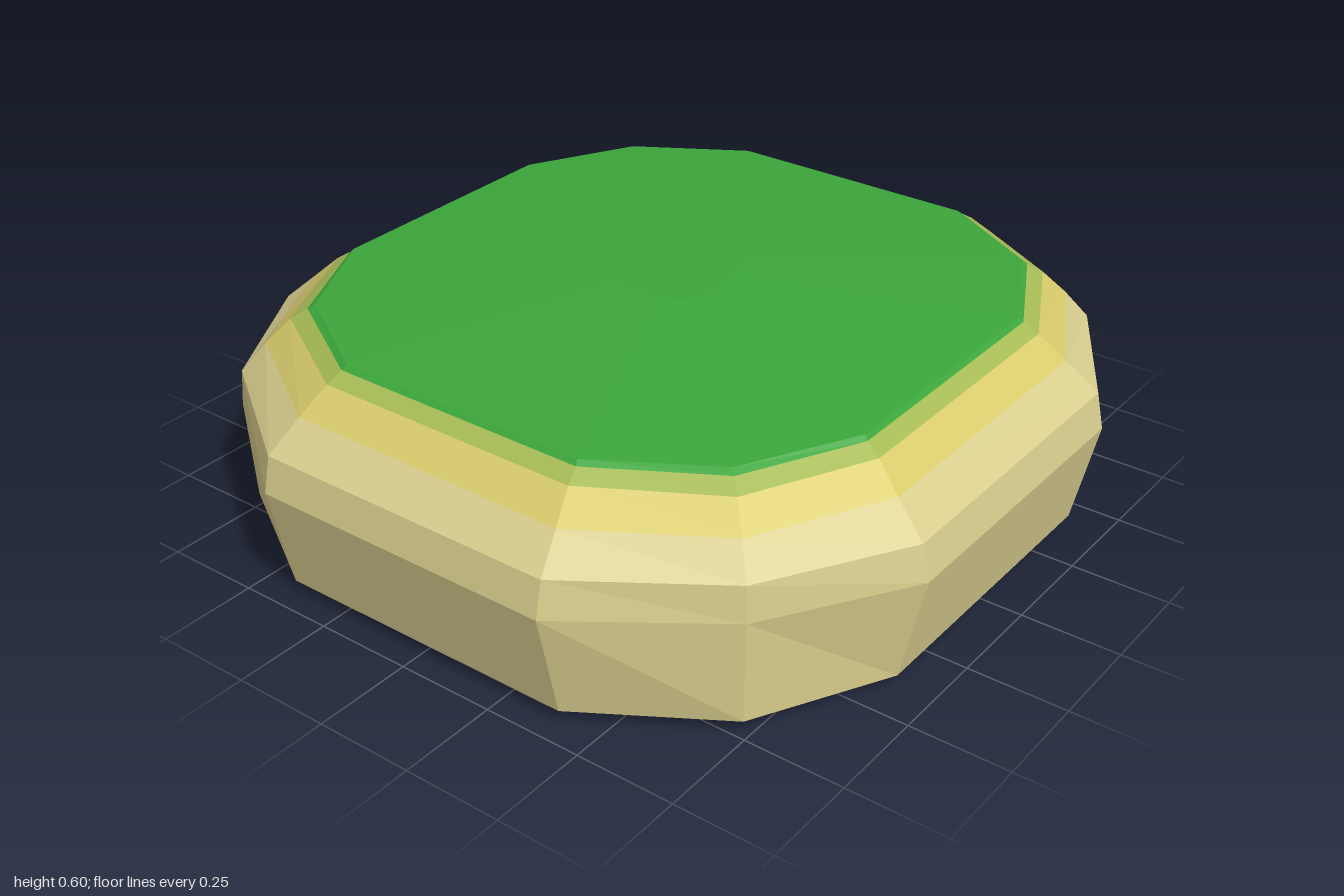
import * as THREE from 'three';

// Twelve-sided ring: half width a (x), half depth b (z), corner c, half edge e.
// lift raises the diagonal corners slightly.
function ring(y, a, b, c, e, lift = 0) {
  const quarter = [[a, e, 0], [c, c, lift], [e, b, 0]];
  const mirrored = (sx, sz) => quarter.map(([x, z, l]) => new THREE.Vector3(x * sx, y + l, z * sz));
  return [
    ...mirrored(1, 1), ...mirrored(-1, 1).reverse(),
    ...mirrored(-1, -1), ...mirrored(1, -1).reverse(),
  ];
}

// Skin a list of rings; collapsed triangles at the centre points are skipped
function skin(rings) {
  const pos = [];
  const tri = (...pts) => {
    if (new THREE.Triangle(...pts).getArea() > 1e-7) pts.forEach((p) => pos.push(p.x, p.y, p.z));
  };
  for (let r = 0; r < rings.length - 1; r++) {
    const lo = rings[r], hi = rings[r + 1];
    for (let i = 0; i < 12; i++) {
      const j = (i + 1) % 12;
      tri(lo[i], hi[i], hi[j]);
      tri(lo[i], hi[j], lo[j]);
    }
  }
  const geo = new THREE.BufferGeometry();
  geo.setAttribute('position', new THREE.Float32BufferAttribute(pos, 3));
  geo.computeVertexNormals();
  return geo;
}

export function createModel() {
  const group = new THREE.Group();
  const mat = (name, color) => {
    const m = new THREE.MeshStandardMaterial({ color });
    m.name = name;
    m.flatShading = true;
    return m;
  };
  const grass = mat('grass green', 0x3ca63b);
  const sand = mat('sand', 0xd9ce8e);
  const yellowSand = mat('yellow sand', 0xd9cc6c);
  const shore = mat('yellow green', 0xa6bb56);

  // Profile from the underside centre up to the top centre
  const underCentre = ring(0, 0, 0, 0, 0);
  const underInner = ring(0.002, 0.41, 0.42, 0.33, 0.18);
  const base = ring(0.03, 0.91, 0.94, 0.74, 0.4, 0.008);
  const widest = ring(0.3, 0.97, 1, 0.75, 0.4);
  const shoulder = ring(0.39, 0.95, 0.98, 0.745, 0.4);
  const slopeMid = ring(0.462, 0.87, 0.9, 0.7, 0.375);
  const slopeTop = ring(0.522, 0.805, 0.83, 0.655, 0.352);
  const rimLow = ring(0.546, 0.768, 0.792, 0.625, 0.342);
  const rimTop = ring(0.556, 0.758, 0.78, 0.612, 0.335);
  const topInner = ring(0.594, 0.15, 0.155, 0.12, 0.065);
  const topCentre = ring(0.595, 0, 0, 0, 0);

  const add = (name, material, ...rings) => {
    const mesh = new THREE.Mesh(skin(rings), material);
    mesh.name = name;
    group.add(mesh);
  };
  add('underside', grass, underCentre, underInner, base);
  add('sideWall', sand, base, widest, shoulder, slopeMid);
  add('upperSlope', yellowSand, slopeMid, slopeTop);
  add('shoreBand', shore, slopeTop, rimLow);
  add('grassTop', grass, rimLow, rimTop, topInner, topCentre);
  return group;
}
